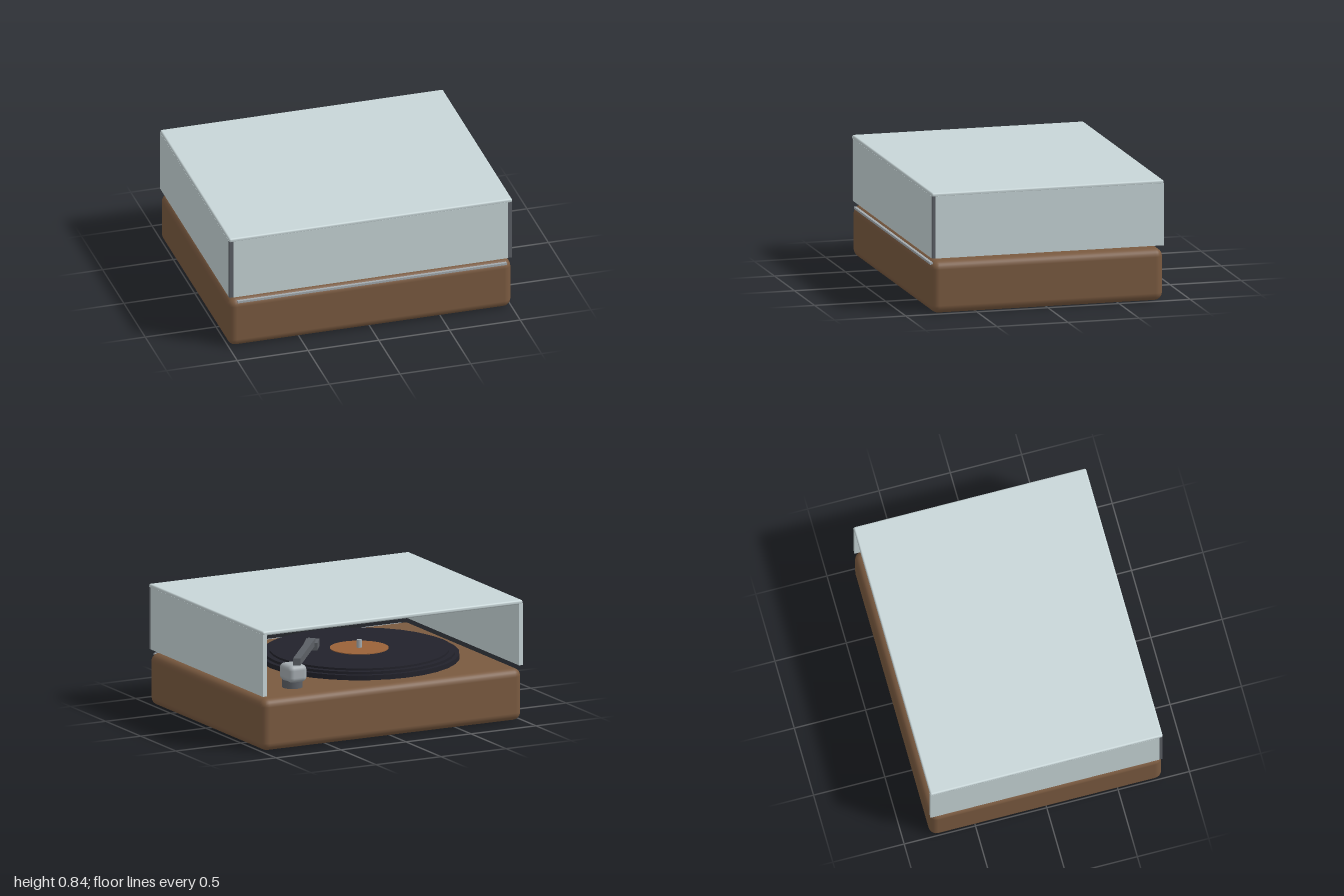
import * as THREE from 'three';
import { RoundedBoxGeometry } from 'three/addons/geometries/RoundedBoxGeometry.js';

const mat = (name, color) => {
  const m = new THREE.MeshStandardMaterial({ color });
  m.name = name;
  return m;
};

export function createModel() {
  const group = new THREE.Group();
  const wood = mat('walnut', 0x7a5a40);
  const cover = mat('pale cover', 0xc8d6d8);
  const dark = mat('dark grey', 0x5c6066);
  const black = mat('black', 0x22222b);
  const silver = mat('silver', 0xa4abb0);
  const label = mat('record label', 0x9a6238);

  const add = (name, geometry, material, x, y, z) => {
    const mesh = new THREE.Mesh(geometry, material);
    mesh.name = name;
    mesh.position.set(x, y, z);
    group.add(mesh);
    return mesh;
  };
  const box = (w, h, d) => new THREE.BoxGeometry(w, h, d);
  const rounded = (w, h, d, r) => new RoundedBoxGeometry(w, h, d, 3, r);
  const disc = (r, h, n = 32) => new THREE.CylinderGeometry(r, r, h, n);

  // Plinth with a slim front trim
  add('plinth', rounded(2, 0.36, 1.63, 0.055), wood, 0, 0.18, 0);
  add('frontTrim', box(1.9, 0.015, 0.02), silver, 0.01, 0.343, 0.807);

  // Platter, record, label and spindle
  const px = -0.18;
  add('platter', disc(0.68, 0.036), black, px, 0.376, 0);
  add('platterRim', disc(0.65, 0.02), black, px, 0.402, 0);
  add('record', disc(0.61, 0.016), black, px, 0.418, 0);
  add('recordLabel', disc(0.2, 0.006), label, px, 0.428, 0);
  add('spindle', disc(0.018, 0.06, 12), silver, px, 0.455, 0);

  // Tonearm: foot, pivot, arm and head
  add('tonearmFoot', disc(0.07, 0.06, 16), dark, 0.63, 0.385, -0.55);
  add('tonearmPivot', rounded(0.14, 0.12, 0.17, 0.035), silver, 0.63, 0.465, -0.56);
  const from = new THREE.Vector3(0.64, 0.55, -0.63);
  const to = new THREE.Vector3(0.12, 0.48, 0.12);
  const arm = add('tonearm', box(0.05, 0.05, from.distanceTo(to)), dark, 0, 0, 0);
  arm.position.copy(from).lerp(to, 0.5);
  arm.lookAt(to);
  const head = add('tonearmHead', box(0.09, 0.05, 0.14), dark, to.x, 0.46, to.z);
  head.rotation.y = arm.rotation.y;

  // Control knob
  add('controlKnob', disc(0.073, 0.07, 20), silver, 0.815, 0.39, 0.59);

  // Dust cover, open at the back
  add('coverTop', rounded(2, 0.03, 1.63, 0.012), cover, 0, 0.822, 0);
  add('coverFront', box(1.94, 0.43, 0.025), cover, 0, 0.6, 0.8025);
  for (const s of [-1, 1]) {
    add('coverSide', box(0.03, 0.43, 1.605), cover, s * 0.985, 0.6, -0.0125);
    add('coverCorner', box(0.03, 0.43, 0.022), dark, s * 0.984, 0.6, 0.801);
  }
  return group;
}
